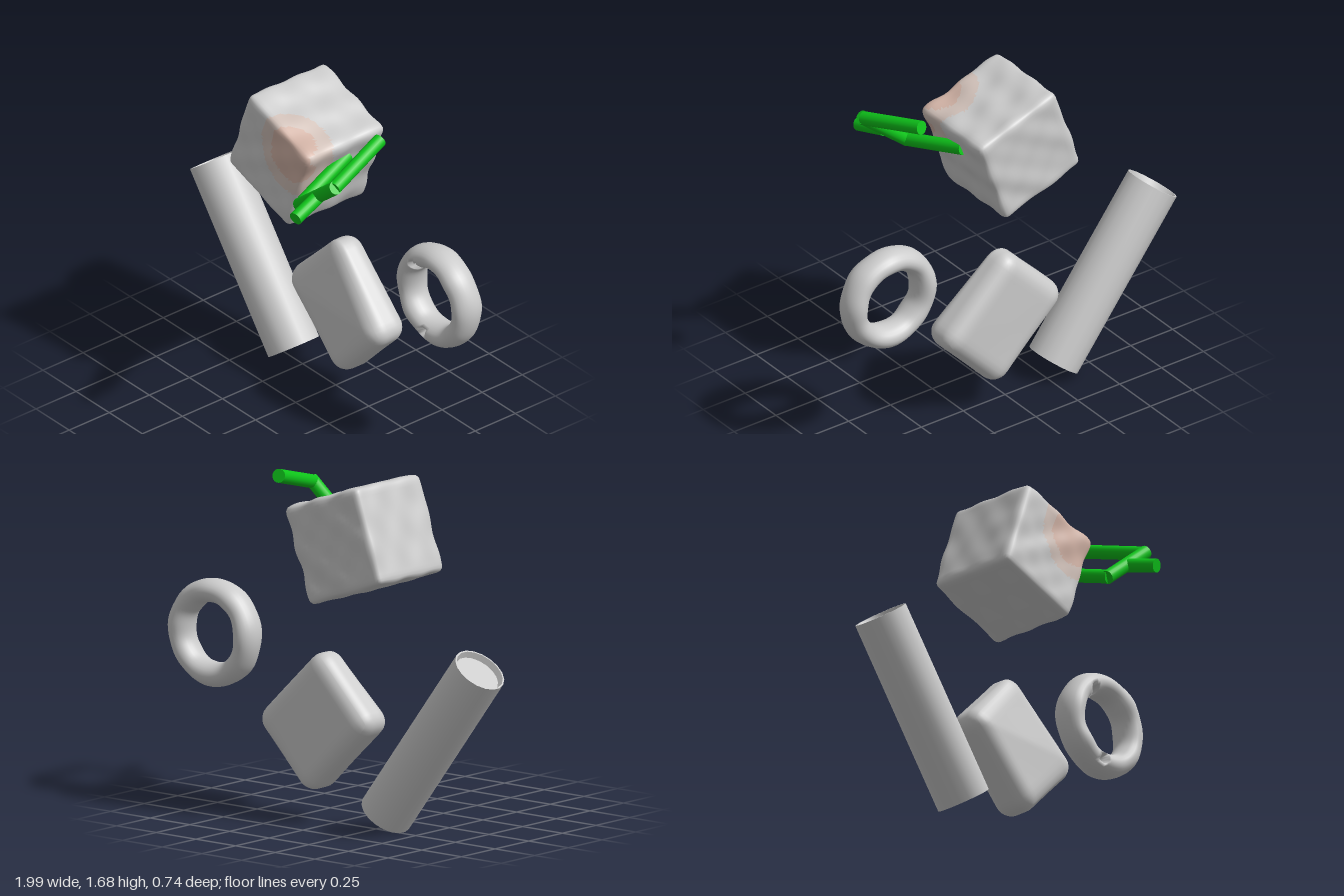
import * as THREE from 'three';
import { mergeVertices, toCreasedNormals } from 'three/addons/utils/BufferGeometryUtils.js';

const grey = new THREE.MeshStandardMaterial({ color: 0xcccccc });
const blushPale = new THREE.MeshStandardMaterial({ color: 0xd1c1b9 });
const blush = new THREE.MeshStandardMaterial({ color: 0xd2b3a6 });
const green = new THREE.MeshStandardMaterial({ color: 0x0ec41a });

const lump = (x, y, z, f) =>
  Math.sin(f * x + 2 * z + 1) * Math.sin(f * y + 0.7) + Math.sin(f * z + 3 * y) * Math.cos(f * (x - y) * 0.6);

// Move every vertex by a rule on a Vector3, then smooth the normals
function reshape(geometry, rule) {
  geometry.deleteAttribute('uv');
  geometry.deleteAttribute('normal');
  const g = mergeVertices(geometry, 1e-5);
  const pos = g.attributes.position;
  const p = new THREE.Vector3();
  for (let i = 0; i < pos.count; i++) {
    rule(p.fromBufferAttribute(pos, i));
    pos.setXYZ(i, p.x, p.y, p.z);
  }
  g.computeVertexNormals();
  return g;
}

// Finely divided box with rounded edges and uneven faces
function softBox(w, h, d, r, n, bump, freq) {
  const inner = new THREE.Vector3(w / 2 - r, h / 2 - r, d / 2 - r);
  const low = inner.clone().negate();
  const core = new THREE.Vector3();
  return reshape(new THREE.BoxGeometry(w, h, d, n, n, n), (p) => {
    core.copy(p).clamp(low, inner);
    const out = p.clone().sub(core).normalize();
    p.copy(core).addScaledVector(out, r + bump * lump(core.x, core.y, core.z, freq));
  });
}

// Split faces between materials by nearness to a warm spot
function tintByDistance(g, spot, limits) {
  const pos = g.attributes.position, idx = g.index.array;
  const buckets = [[], [], []];
  const c = new THREE.Vector3(), v = new THREE.Vector3();
  for (let i = 0; i < idx.length; i += 3) {
    c.set(0, 0, 0);
    for (let k = 0; k < 3; k++) c.add(v.fromBufferAttribute(pos, idx[i + k]));
    const d = c.divideScalar(3).distanceTo(spot);
    buckets[d < limits[0] ? 2 : d < limits[1] ? 1 : 0].push(idx[i], idx[i + 1], idx[i + 2]);
  }
  g.setIndex(buckets.flat());
  g.clearGroups();
  let start = 0;
  buckets.forEach((b, m) => {
    g.addGroup(start, b.length, m);
    start += b.length;
  });
}

function rod(name, a, b, radius) {
  const from = new THREE.Vector3(...a), to = new THREE.Vector3(...b);
  const dir = to.clone().sub(from);
  const mesh = new THREE.Mesh(new THREE.CylinderGeometry(radius, radius, dir.length(), 20), green);
  mesh.name = name;
  mesh.position.copy(from).add(to).multiplyScalar(0.5);
  mesh.quaternion.setFromUnitVectors(new THREE.Vector3(0, 1, 0), dir.normalize());
  return mesh;
}

export function createModel() {
  const model = new THREE.Group();
  model.name = 'shapesAndGripper';
  const add = (name, geometry, material, x, y, z, turn = 0) => {
    const mesh = new THREE.Mesh(geometry, material);
    mesh.name = name;
    mesh.position.set(x, y, z);
    mesh.rotation.z = turn;
    model.add(mesh);
  };

  // Leaning cylinder with shallow recessed ends
  const half = 0.49;
  const profile = [
    [0, 0.03 - half], [0.115, 0.03 - half], [0.125, -half], [0.133, -half],
    [0.133, half], [0.125, half], [0.115, half - 0.03], [0, half - 0.03],
  ].map(([x, y]) => new THREE.Vector2(x, y));
  add('cylinder', toCreasedNormals(new THREE.LatheGeometry(profile, 18), 0.6), grey, -0.595, 0.476, -0.235, 0.648);

  // Rounded slab, thinner towards its top corner
  const slab = softBox(0.566, 0.486, 0.215, 0.08, 20, 0.001, 14);
  slab.rotateZ(-0.77);
  const thinSlab = reshape(slab, (p) => {
    if (p.z > 0) p.z *= 1 - 0.45 * Math.max(0, p.y) / 0.33;
  });
  add('slab', thinSlab, grey, 0.07, 0.503, -0.262);

  // Uneven ring with two small pits on its front
  const pits = [[-0.105, 0.14], [-0.04, -0.2]];
  const ring = reshape(new THREE.TorusGeometry(0.206, 0.058, 24, 96), (p) => {
    const a = Math.atan2(p.y, p.x);
    const mid = new THREE.Vector3(0.206 * Math.cos(a), 0.206 * Math.sin(a), 0);
    p.sub(mid).multiplyScalar(1 + 0.04 * lump(mid.x, mid.y, p.z, 30)).add(mid);
    p.z *= 0.08 / 0.058;
    if (p.z > 0) {
      for (const [x, y] of pits) {
        if (Math.hypot(p.x - x, p.y - y) < 0.024) p.z -= 0.045;
      }
    }
  });
  add('ring', ring, grey, 0.73, 0.85, -0.29);

  // Lumpy cube with a warm patch at its front top corner
  const cube = softBox(0.486, 0.486, 0.486, 0.032, 28, 0.004, 34);
  tintByDistance(cube, new THREE.Vector3(0.12, 0.16, 0.24), [0.14, 0.21]);
  add('cube', cube, [grey, blushPale, blush], -0.07, 1.385, -0.125, -0.335);

  // Two-pronged gripper
  const gripper = new THREE.Group();
  gripper.name = 'gripper';
  gripper.add(
    rod('crossbar', [0.257, 1.325, 0.19], [0.532, 1.553, 0.19], 0.034),
    rod('handle', [0.398, 1.437, 0.19], [0.43, 1.395, 0.357], 0.034),
    rod('lowerProng', [0.27, 1.335, 0.19], [0.186, 1.428, -0.165], 0.034),
    rod('upperProng', [0.52, 1.543, 0.19], [0.436, 1.636, -0.165], 0.034),
  );
  model.add(gripper);
  return model;
}
